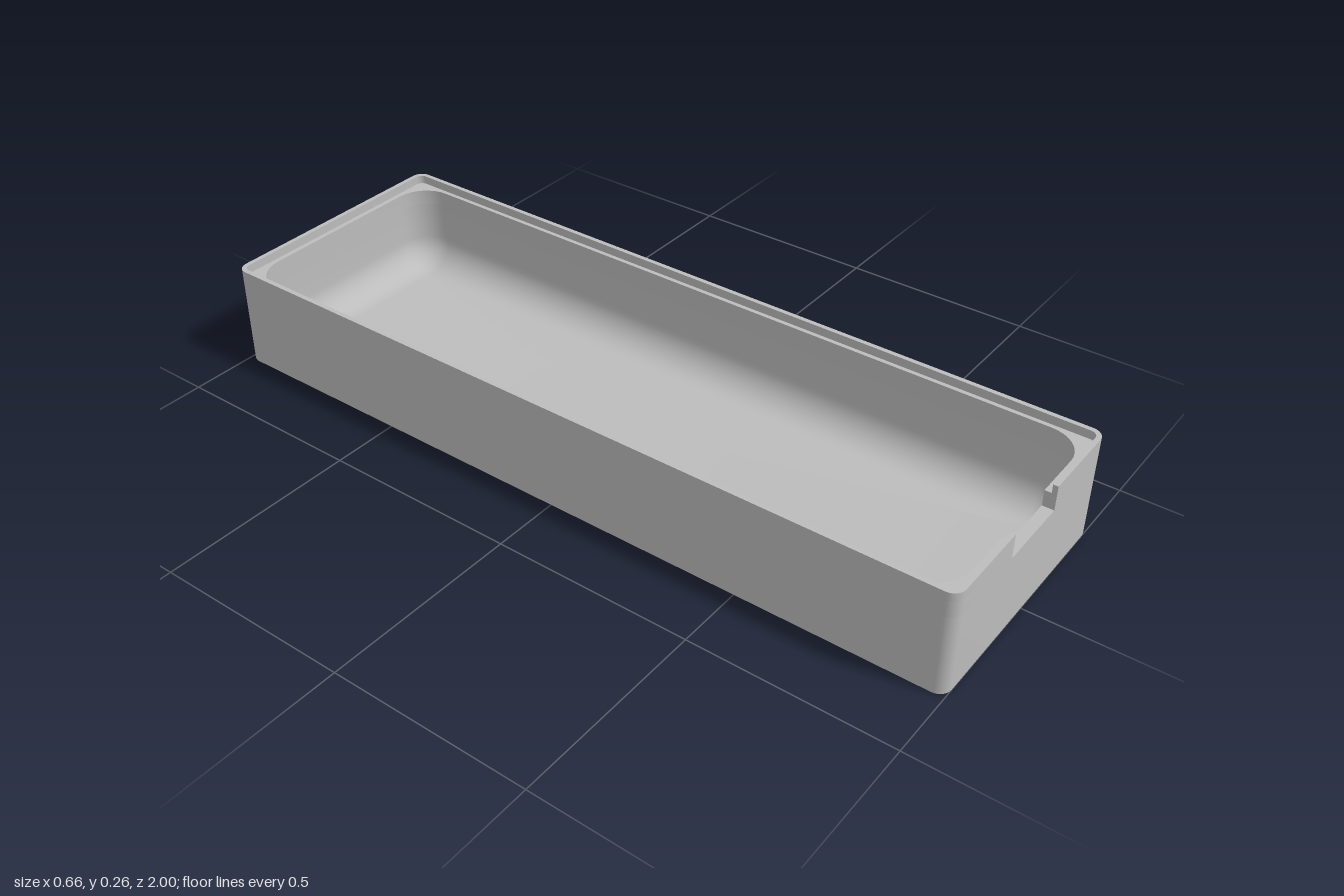
import * as THREE from 'three';
import { toCreasedNormals } from 'three/addons/utils/BufferGeometryUtils.js';

const HEIGHT = 0.262, LEDGE_Y = 0.24, NOTCH_Y = 0.2, NOTCH_X = 0.095;
const FLOOR_Y = 0.02, FILLET = 0.08, STEPS = 8;

// Rounded rectangle in plan as [x, z] points, from the front right corner round the back to the front left
function outline({ hx, z0, z1, r }) {
  const points = [];
  for (let c = 0; c < 4; c++) {
    const cx = (c < 2 ? 1 : -1) * (hx - r);
    const cz = c === 0 || c === 3 ? z1 - r : z0 + r;
    for (let i = 0; i <= STEPS; i++) {
      const a = (c + i / STEPS) * Math.PI / 2;
      points.push([cx + r * Math.sin(a), cz + r * Math.cos(a)]);
    }
  }
  return points;
}

const OUTER = { hx: 0.328, z0: -1, z1: 1, r: 0.03 };
const LIP = { hx: 0.316, z0: -0.988, z1: 0.988, r: 0.018 };
const CAVITY = { hx: 0.305, z0: -0.975, z1: 0.972, r: 0.085 };
const CENTRE = { hx: 0, z0: 0, z1: 0, r: 0 };
const inset = (o, d) => ({ hx: o.hx - d, z0: o.z0 + d, z1: o.z1 - d, r: o.r - d });

// Smooth the rounds and keep the edges sharp; enlarged meanwhile so close points stay distinct
function crease(geometry) {
  geometry.scale(100, 100, 100);
  const result = toCreasedNormals(geometry, 0.6);
  return result.scale(0.01, 0.01, 0.01);
}

// Skin over a list of [outline, height] cross-sections
function loft(sections) {
  const positions = [], index = [];
  const n = 4 * (STEPS + 1);
  sections.forEach(([o, y]) => outline(o).forEach(([x, z]) => positions.push(x, y, z)));
  for (let s = 0; s < sections.length - 1; s++) {
    for (let i = 0; i < n; i++) {
      const a = s * n + i, b = s * n + (i + 1) % n;
      index.push(a, b, a + n, b, b + n, a + n);
    }
  }
  const geometry = new THREE.BufferGeometry();
  geometry.setAttribute('position', new THREE.Float32BufferAttribute(positions, 3));
  geometry.setIndex(index);
  return crease(geometry);
}

// Wall running round the tray with a gap at the front for the notch
function notchedWall(outer, inner, y0, y1) {
  const plan = [
    [NOTCH_X, outer.z1], ...outline(outer), [-NOTCH_X, outer.z1],
    [-NOTCH_X, inner.z1], ...outline(inner).reverse(), [NOTCH_X, inner.z1],
  ];
  const shape = new THREE.Shape(plan.map(([x, z]) => new THREE.Vector2(x, -z)));
  const geometry = new THREE.ExtrudeGeometry(shape, { depth: y1 - y0, bevelEnabled: false });
  geometry.rotateX(-Math.PI / 2).translate(0, y0, 0);
  return crease(geometry);
}

export function createModel() {
  const group = new THREE.Group();
  group.name = 'tray';
  const grey = new THREE.MeshStandardMaterial({ color: 0xbcbcbc });
  grey.name = 'grey';
  const add = (name, geometry) => {
    const mesh = new THREE.Mesh(geometry, grey);
    mesh.name = name;
    group.add(mesh);
  };

  // Base with a hollow whose walls curve into the floor
  const sections = [[CENTRE, 0], [OUTER, 0], [OUTER, NOTCH_Y], [CAVITY, NOTCH_Y]];
  for (let i = 0; i <= 10; i++) {
    const a = i / 10 * Math.PI / 2;
    sections.push([inset(CAVITY, FILLET * (1 - Math.cos(a))), FLOOR_Y + FILLET * (1 - Math.sin(a))]);
  }
  sections.push([CENTRE, FLOOR_Y]);
  add('base', loft(sections));

  // Upper wall up to the lid ledge, then the thin outer lip
  add('upperWall', notchedWall(OUTER, CAVITY, NOTCH_Y, LEDGE_Y));
  add('lip', notchedWall(OUTER, LIP, LEDGE_Y, HEIGHT));
  return group;
}
